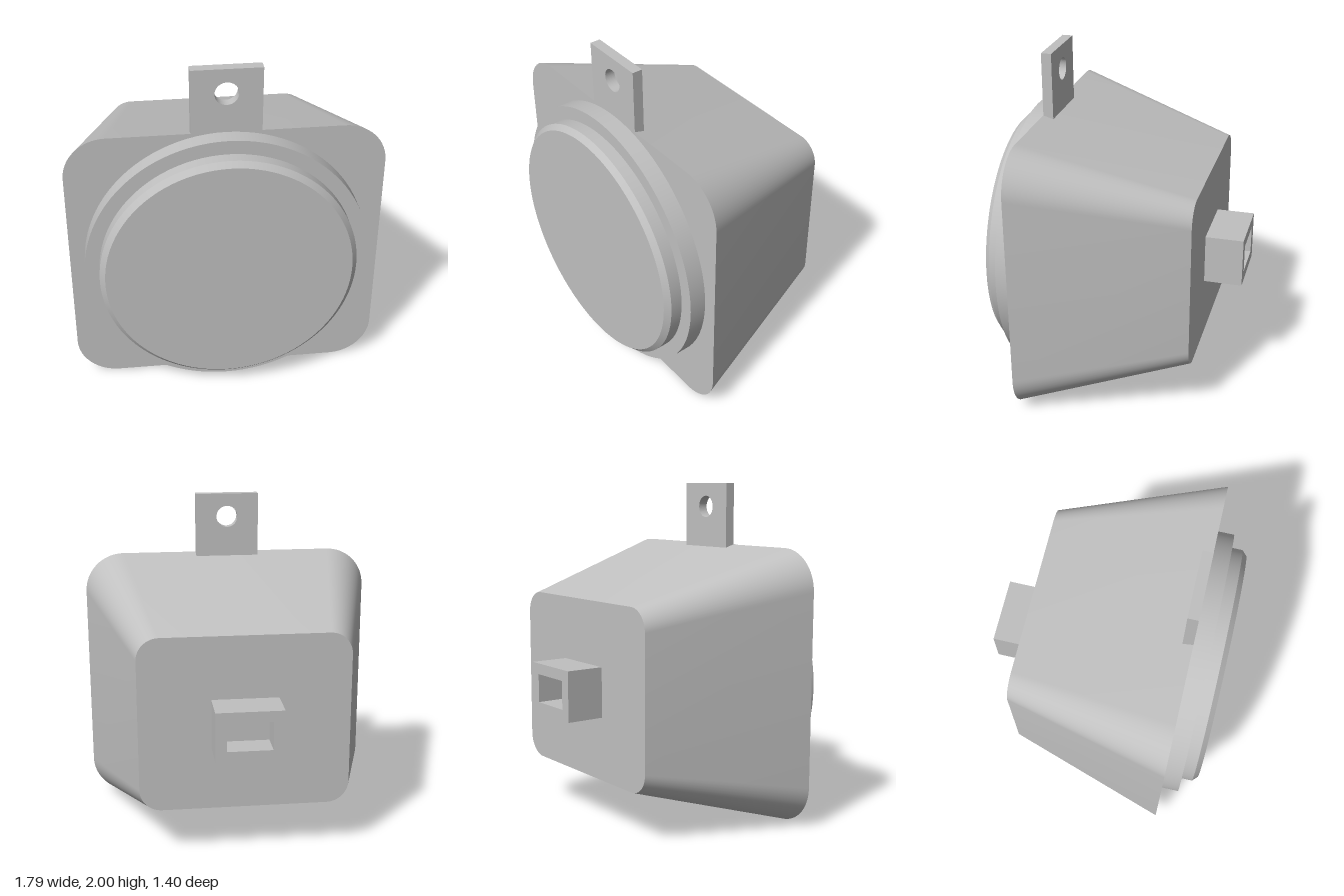
import * as THREE from 'three';
import { toCreasedNormals } from 'three/addons/utils/BufferGeometryUtils.js';

const CY = 0.817; // height of the main axis

// Rounded-rectangle outline, counter-clockwise, the same point count for any size
function roundedLoop(hw, hh, r, seg = 16) {
  const pts = [];
  [[1, 1], [-1, 1], [-1, -1], [1, -1]].forEach(([sx, sy], c) => {
    for (let i = 0; i <= seg; i++) {
      const a = (c + i / seg) * Math.PI / 2;
      pts.push([sx * (hw - r) + r * Math.cos(a), sy * (hh - r) + r * Math.sin(a)]);
    }
  });
  return pts;
}

// Solid lofted between a back and a front loop, capped at both ends
function loft(back, zBack, front, zFront) {
  const pos = [];
  const B = p => [p[0], p[1], zBack];
  const F = p => [p[0], p[1], zFront];
  const tri = (a, b, c) => pos.push(...a, ...b, ...c);
  const n = back.length;
  for (let i = 0; i < n; i++) {
    const j = (i + 1) % n;
    tri(F(front[i]), B(back[i]), B(back[j]));
    tri(F(front[i]), B(back[j]), F(front[j]));
    tri([0, 0, zFront], F(front[i]), F(front[j]));
    tri([0, 0, zBack], B(back[j]), B(back[i]));
  }
  const g = new THREE.BufferGeometry();
  g.setAttribute('position', new THREE.Float32BufferAttribute(pos, 3));
  return toCreasedNormals(g, 0.5);
}

// Rectangle shape between two corners
function rect(T, x0, y0, x1, y1) {
  const s = new T();
  s.moveTo(x0, y0);
  s.lineTo(x1, y0);
  s.lineTo(x1, y1);
  s.lineTo(x0, y1);
  s.closePath();
  return s;
}

export function createModel() {
  const model = new THREE.Group();
  model.name = 'lampHousing';
  const grey = new THREE.MeshStandardMaterial({ color: 0xc0c0c0 });
  grey.name = 'grey';

  const add = (name, geometry, x, y, z) => {
    const mesh = new THREE.Mesh(geometry, grey);
    mesh.name = name;
    mesh.position.set(x, y, z);
    model.add(mesh);
    return mesh;
  };
  const extrude = (shape, depth) =>
    new THREE.ExtrudeGeometry(shape, { depth, bevelEnabled: false, curveSegments: 32 });

  // Tapered housing
  add('housing', loft(roundedLoop(0.615, 0.52, 0.13), -0.475,
    roundedLoop(0.893, 0.811, 0.24), 0.5), 0, CY, 0);

  // Stepped round front: flange, lens rim and chamfered lens
  const disc = (name, rFront, rBack, z0, z1) => {
    const g = new THREE.CylinderGeometry(rFront, rBack, z1 - z0, 96);
    g.rotateX(Math.PI / 2);
    add(name, g, 0, CY, (z0 + z1) / 2);
  };
  disc('flange', 0.811, 0.811, 0.5, 0.6);
  disc('lensRim', 0.73, 0.73, 0.6, 0.67);
  disc('lensChamfer', 0.7, 0.73, 0.67, 0.7);

  // Mounting plate runs through the housing and stands out on top
  const plate = rect(THREE.Shape, -0.195, 0, 0.195, 2);
  const hole = new THREE.Path();
  hole.absarc(0, 1.857, 0.066, 0, Math.PI * 2, true);
  plate.holes.push(hole);
  add('mountingPlate', extrude(plate, 0.06), 0, 0, 0.44);

  // Rear connector with a blind rectangular socket
  const shell = rect(THREE.Shape, -0.195, -0.147, 0.195, 0.147);
  shell.holes.push(rect(THREE.Path, -0.13, -0.083, 0.13, 0.083));
  add('connectorShell', extrude(shell, 0.225), 0, CY, -0.7);
  add('socketFloor', new THREE.BoxGeometry(0.26, 0.166, 0.065), 0, CY, -0.5075);

  return model;
}
